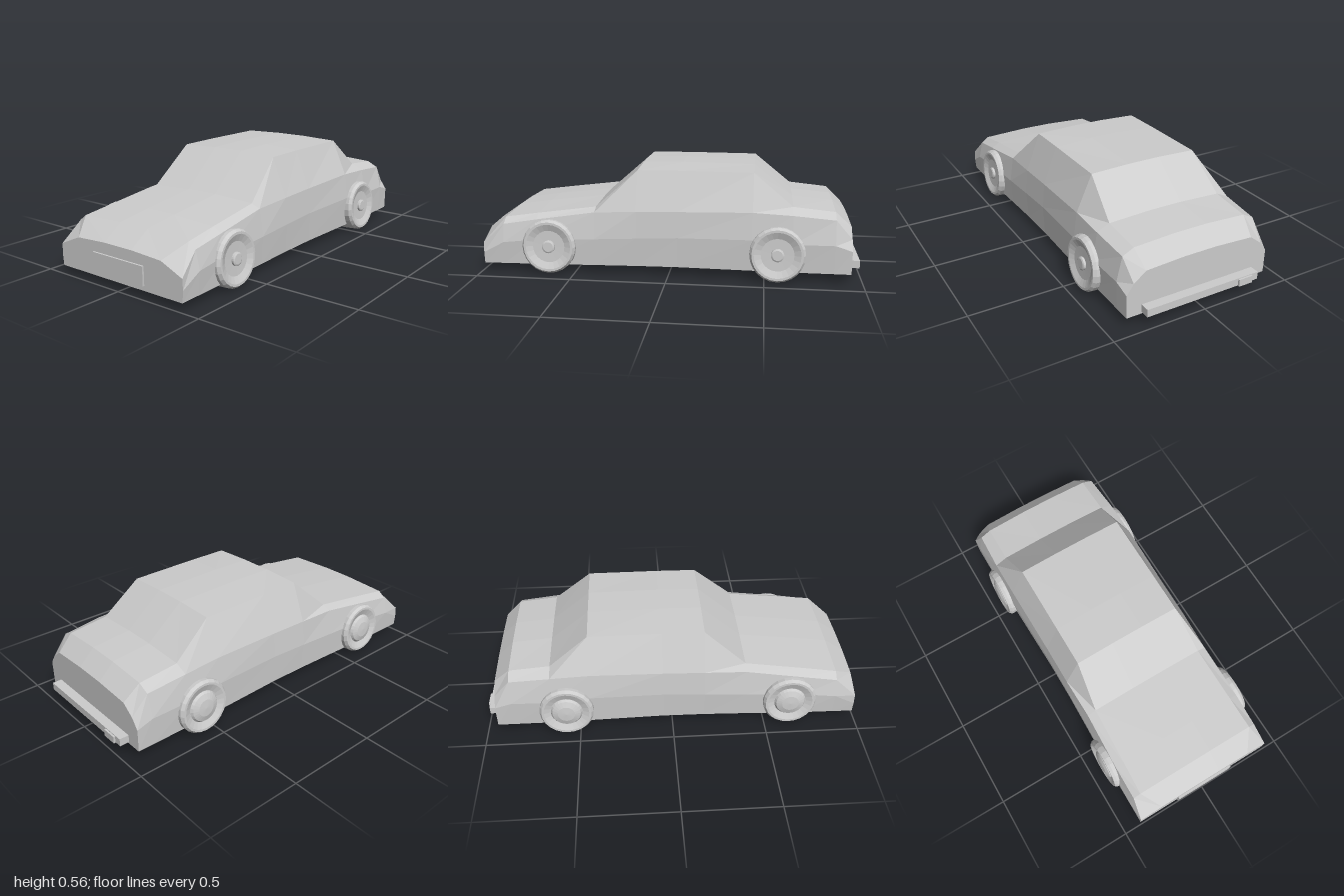
import * as THREE from 'three';

// Half cross-sections, front to back: z, then x,y pairs for
// sill, waist, shoulder, upper edge and crown
const SECTIONS = [
  [0.99, 0.4, 0.04, 0.405, 0.1, 0.402, 0.155, 0.275, 0.21, 0.09, 0.22],
  [0.88, 0.4, 0.042, 0.408, 0.16, 0.385, 0.255, 0.345, 0.285, 0.09, 0.296],
  [0.7, 0.4, 0.044, 0.405, 0.18, 0.385, 0.285, 0.338, 0.31, 0.09, 0.322],
  [0.39, 0.39, 0.046, 0.397, 0.19, 0.375, 0.33, 0.327, 0.35, 0.09, 0.36],
  [0.17, 0.385, 0.048, 0.393, 0.2, 0.38, 0.34, 0.3, 0.545, 0.09, 0.553],
  [-0.05, 0.385, 0.05, 0.392, 0.21, 0.38, 0.346, 0.3, 0.547, 0.09, 0.557],
  [-0.435, 0.395, 0.05, 0.403, 0.215, 0.385, 0.355, 0.3, 0.545, 0.09, 0.552],
  [-0.64, 0.4, 0.05, 0.408, 0.2, 0.385, 0.345, 0.318, 0.376, 0.09, 0.386],
  [-0.855, 0.4, 0.05, 0.405, 0.2, 0.375, 0.325, 0.315, 0.355, 0.09, 0.367],
  [-0.94, 0.4, 0.05, 0.402, 0.172, 0.365, 0.225, 0.3, 0.275, 0.09, 0.286],
];

function bodyGeometry() {
  const positions = [];
  const index = [];
  const n = 10;
  for (const [z, ...p] of SECTIONS) {
    for (let k = 0; k < 5; k++) positions.push(-p[k * 2], p[k * 2 + 1], z);
    for (let k = 4; k >= 0; k--) positions.push(p[k * 2], p[k * 2 + 1], z);
  }
  // skin between neighbouring sections, floor included
  for (let i = 0; i < SECTIONS.length - 1; i++) {
    for (let j = 0; j < n; j++) {
      const a = i * n + j;
      const b = i * n + ((j + 1) % n);
      index.push(a, b, a + n, b, b + n, a + n);
    }
  }
  // nose and tail panels
  const last = (SECTIONS.length - 1) * n;
  for (let j = 1; j < n - 1; j++) {
    index.push(0, j + 1, j);
    index.push(last, last + j, last + j + 1);
  }
  const geometry = new THREE.BufferGeometry();
  geometry.setAttribute('position', new THREE.Float32BufferAttribute(positions, 3));
  geometry.setIndex(index);
  const flat = geometry.toNonIndexed();
  flat.computeVertexNormals();
  return flat;
}

function lathe(points) {
  return new THREE.LatheGeometry(points.map(([r, y]) => new THREE.Vector2(r, y)), 24);
}

export function createModel() {
  const car = new THREE.Group();
  car.name = 'car';
  const paint = new THREE.MeshStandardMaterial({ color: 0xcccccc, flatShading: true });
  paint.name = 'light grey';

  const add = (name, geometry, parent = car) => {
    const mesh = new THREE.Mesh(geometry, paint);
    mesh.name = name;
    parent.add(mesh);
    return mesh;
  };
  const box = (name, x0, x1, y0, y1, z0, z1) => {
    add(name, new THREE.BoxGeometry(x1 - x0, y1 - y0, z1 - z0))
      .position.set((x0 + x1) / 2, (y0 + y1) / 2, (z0 + z1) / 2);
  };

  add('body', bodyGeometry());
  box('frontPlate', -0.167, 0.167, 0.065, 0.162, 0.98, 1);
  box('rearBumper', -0.32, 0.32, 0.06, 0.1, -0.99, -0.93);
  box('exhaust', -0.28, -0.2, 0.058, 0.096, -1, -0.93);

  // Cambered wheels with dished faces
  const tyre = lathe([[0, -0.12], [0.135, -0.12], [0.143, -0.105], [0.143, -0.015],
    [0.132, 0], [0.12, 0], [0.085, -0.014], [0, -0.016]]);
  const dome = lathe([[0.085, -0.016], [0.075, -0.002], [0.045, 0.008], [0, 0.011]]);
  const hub = lathe([[0.034, -0.018], [0.034, -0.004], [0.026, 0], [0, 0]]);
  for (const [end, z, x] of [['front', 0.63, 0.429], ['rear', -0.565, 0.438]]) {
    for (const side of [1, -1]) {
      const wheel = new THREE.Group();
      wheel.name = end + (side > 0 ? 'LeftWheel' : 'RightWheel');
      add('tyre', tyre, wheel);
      if (side > 0) add('hub', hub, wheel);
      else add('hubCap', dome, wheel);
      wheel.position.set(side * x, 0.148, z);
      wheel.rotation.z = side * (0.06 - Math.PI / 2);
      car.add(wheel);
    }
  }
  return car;
}
